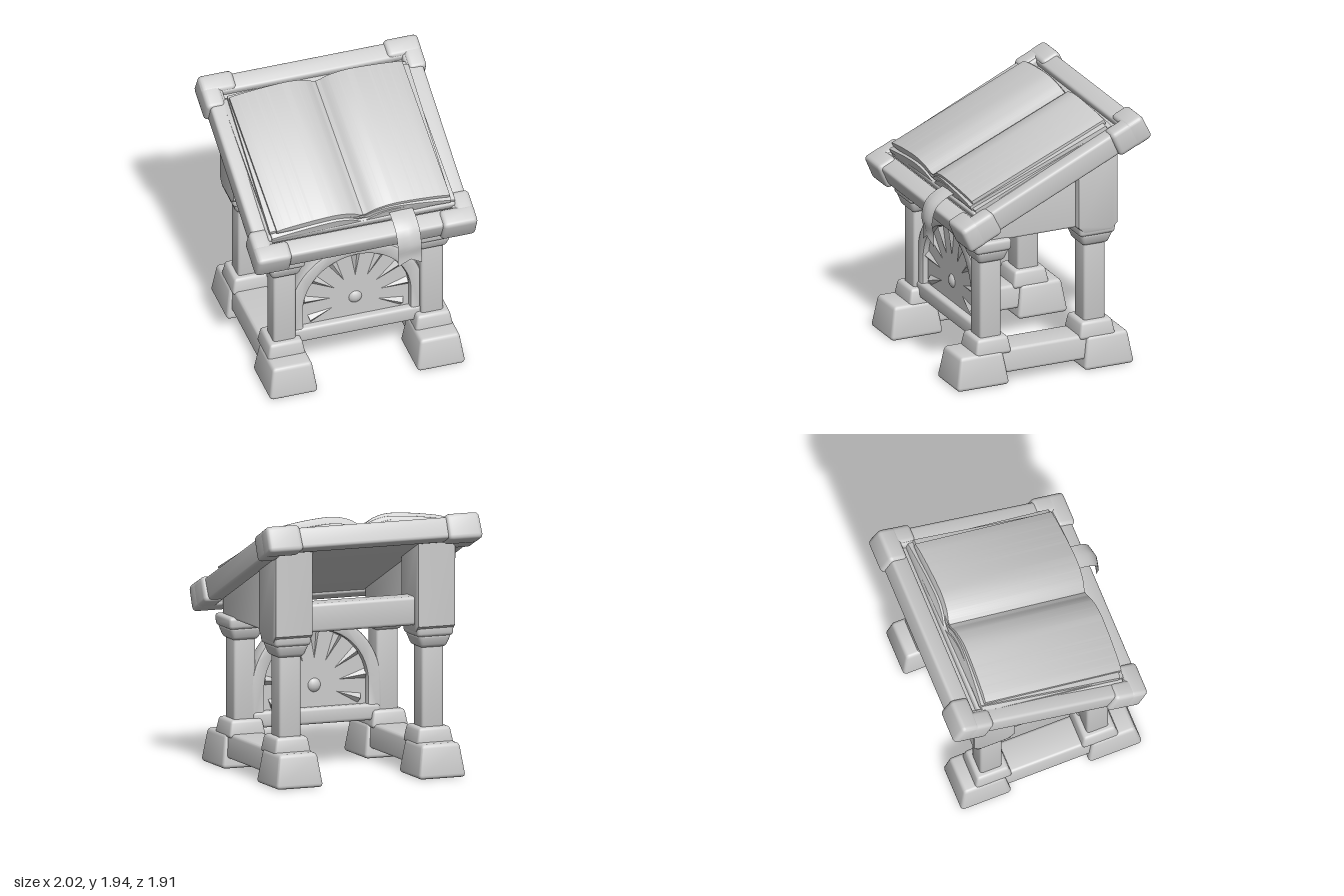
import * as THREE from 'three';
import { toCreasedNormals } from 'three/addons/utils/BufferGeometryUtils.js';
import { RoundedBoxGeometry } from 'three/addons/geometries/RoundedBoxGeometry.js';

const stone = new THREE.MeshStandardMaterial({ color: 0xcccccc });
stone.name = 'stoneGrey';
const ribbonGrey = stone.clone();
ribbonGrey.name = 'ribbonGrey';
ribbonGrey.side = THREE.DoubleSide;

const SLOPE = 0.43, BOARD_Y = 1.525;
const LEG_X = 0.56, LEG_FRONT = 0.44, LEG_BACK = -0.39;

function add(parent, name, geo, x = 0, y = 0, z = 0, mat = stone) {
  const mesh = new THREE.Mesh(geo, mat);
  mesh.name = name;
  mesh.position.set(x, y, z);
  parent.add(mesh);
  return mesh;
}

// Worn block, optionally narrowed or widened towards its top
function block(w, h, d, topX = 1, topZ = topX, r = 0.025) {
  const g = new RoundedBoxGeometry(w, h, d, 2, r);
  const p = g.attributes.position;
  for (let i = 0; i < p.count; i++) {
    const t = p.getY(i) / h + 0.5;
    p.setX(i, p.getX(i) * (1 + (topX - 1) * t));
    p.setZ(i, p.getZ(i) * (1 + (topZ - 1) * t));
  }
  g.computeVertexNormals();
  return toCreasedNormals(g, 0.6);
}

// Outline extruded evenly about z = 0, with a small bevel
function slab(shape, depth, bevel = 0.012) {
  const g = new THREE.ExtrudeGeometry(shape, {
    depth: depth - 2 * bevel, bevelEnabled: bevel > 0, bevelThickness: bevel,
    bevelSize: bevel, bevelOffset: -bevel, bevelSegments: 2, curveSegments: 24,
  });
  g.translate(0, 0, -depth / 2 + bevel);
  return toCreasedNormals(g, 0.6);
}

// Upright support with a sloping top that meets the board
function wedge(z0, z1, bottom, thick, chamfer) {
  const top = z => BOARD_Y - z * Math.tan(SLOPE) - 0.03;
  const s = new THREE.Shape([
    [z0 + chamfer, bottom], [z1 - chamfer, bottom], [z1, bottom + chamfer],
    [z1, top(z1)], [z0, top(z0)], [z0, bottom + chamfer],
  ].map(([z, y]) => new THREE.Vector2(z, y)));
  return slab(s, thick, 0.02).rotateY(-Math.PI / 2);
}

function archShape(r, base) {
  const s = new THREE.Shape();
  s.moveTo(-r, base);
  s.lineTo(r, base);
  s.lineTo(r, 0.56);
  s.absarc(0, 0.56, r, 0, Math.PI, false);
  s.closePath();
  return s;
}

// Open page spread: dips at the spine, swells, then falls to the edges
function pages(half, depth, lift) {
  const side = [[0.03, 0.06], [0.1, 0.1], [0.22, 0.125], [0.4, 0.115], [0.58, 0.09], [half, 0.07]];
  const right = side.map(([x, y]) => new THREE.Vector2(x, y + lift));
  const left = right.map(v => new THREE.Vector2(-v.x, v.y)).reverse();
  const s = new THREE.Shape();
  s.moveTo(-half, lift + 0.035);
  s.lineTo(half, lift + 0.035);
  s.lineTo(half, lift + 0.07);
  s.splineThru(right.slice().reverse().slice(1));
  s.lineTo(0, lift + 0.035 + 0.012);
  s.lineTo(left[left.length - 1].x, left[left.length - 1].y);
  s.splineThru(left.slice().reverse().slice(1));
  s.closePath();
  return slab(s, depth, 0.006);
}

function buildBase(parent) {
  for (const side of [-1, 1]) {
    const x = side * LEG_X;
    // Runner with a heavy tapered foot at each end
    add(parent, 'footRunner', block(0.29, 0.18, 1.1, 0.86, 1), x, 0.165, 0.04);
    add(parent, 'frontFoot', block(0.37, 0.25, 0.42, 0.8, 0.8, 0.03), x, 0.125, 0.54);
    add(parent, 'backFoot', block(0.37, 0.25, 0.4, 0.8, 0.8, 0.03), x, 0.125, -0.465);
    for (const z of [LEG_FRONT, LEG_BACK]) {
      add(parent, 'columnPlinth', block(0.29, 0.13, 0.29, 0.84), x, 0.29, z);
      add(parent, 'column', block(0.17, 0.72, 0.17, 1, 1, 0.022), x, 0.66, z);
      add(parent, 'capitalFlare', block(0.2, 0.1, 0.2, 1.35), x, 0.985, z);
      add(parent, 'capitalTop', block(0.28, 0.09, 0.28, 1.04), x, 1.065, z);
    }
    add(parent, 'sidePanel', wedge(-0.3, 0.55, 1.09, 0.2, 0.01), x, 0, 0);
    add(parent, 'backSupport', wedge(-0.55, -0.23, 1.05, 0.3, 0.05), x, 0, 0);
  }
  add(parent, 'backCrossbar', block(0.95, 0.21, 0.16), 0, 1.21, -0.41);
}

function buildArch(parent) {
  const arch = new THREE.Group();
  arch.name = 'frontArch';
  arch.position.z = 0.42;
  parent.add(arch);
  const ring = archShape(0.51, 0.32);
  ring.holes.push(archShape(0.405, 0.4));
  add(arch, 'archFrame', slab(ring, 0.14, 0.02));
  add(arch, 'archSill', block(1.0, 0.12, 0.16), 0, 0.34, 0);
  add(arch, 'archPanel', slab(archShape(0.42, 0.36), 0.05, 0));
  // Carved fan of rays widening outwards from the hub
  for (let i = 0; i < 9; i++) {
    const a = -0.32 + i * (Math.PI + 0.64) / 8;
    const len = i === 0 || i === 8 ? 0.34 : 0.37;
    const cone = new THREE.ConeGeometry(0.065, len, 4).rotateX(Math.PI);
    cone.translate(0, len / 2 + 0.03, 0).scale(1, 1, 0.85);
    const ray = add(arch, 'archRay', toCreasedNormals(cone, 0.4), 0, 0.56, 0);
    ray.rotation.z = a - Math.PI / 2;
  }
  add(arch, 'archHub', new THREE.SphereGeometry(0.06, 16, 10).scale(1, 1, 0.8), 0, 0.56, 0);
}

function buildBoard(parent) {
  const board = new THREE.Group();
  board.name = 'readingBoard';
  board.position.y = BOARD_Y;
  board.rotation.x = SLOPE;
  parent.add(board);
  add(board, 'boardPanel', block(1.5, 0.09, 1.45), 0, -0.015, 0);
  // Rim beams and chunky corner caps
  for (const s of [-1, 1]) {
    add(board, 'sideRim', block(0.13, 0.17, 1.45), s * 0.745, 0, 0);
    add(board, 'endRim', block(1.5, 0.16, 0.14), 0, 0, s * 0.705);
    for (const t of [-1, 1]) {
      add(board, 'cornerCap', block(0.27, 0.2, 0.16, 0.97, 0.94, 0.035), s * 0.705, 0, t * 0.72);
      add(board, 'cornerCapSide', block(0.15, 0.195, 0.28, 0.94, 0.97, 0.035), s * 0.765, 0, t * 0.655);
    }
  }
  // Open book lying slightly shallower than the board
  const book = new THREE.Group();
  book.name = 'openBook';
  book.position.set(0, 0.03, 0.02);
  book.rotation.x = -0.03;
  board.add(book);
  add(book, 'bookCover', block(1.42, 0.06, 1.22, 1, 1, 0.015), 0, 0.025, 0);
  [[0.7, 1.2, 0.0, 0.02], [0.685, 1.17, 0.028, -0.02], [0.66, 1.16, 0.055, 0.015]]
    .forEach(([half, depth, lift, turn], i) => {
      const leaf = add(book, 'pageStack' + (i + 1), pages(half, depth, lift));
      leaf.rotation.y = turn;
    });
}

// Bookmark ribbon draped over the front rim, with a forked end
function buildRibbon(parent) {
  const path = new THREE.CatmullRomCurve3([
    [0.57, 1.41], [0.68, 1.375], [0.765, 1.31], [0.8, 1.2], [0.785, 1.1], [0.79, 1.02],
  ].map(([z, y]) => new THREE.Vector3(0, y, z)));
  const g = new THREE.PlaneGeometry(0.18, 1, 4, 16);
  const p = g.attributes.position;
  for (let i = 0; i < p.count; i++) {
    const x = p.getX(i), t = 0.5 - p.getY(i);
    const notch = (1 - Math.abs(x) / 0.09) * 0.15;
    const v = path.getPoint(t * (1 - notch * t));
    p.setXYZ(i, x + 0.02 * t, v.y, v.z + 0.01 * Math.cos(x * 35));
  }
  g.computeVertexNormals();
  add(parent, 'bookmarkRibbon', g, 0.29, 0, 0, ribbonGrey);
}

export function createModel() {
  const model = new THREE.Group();
  model.name = 'lectern';
  const stand = new THREE.Group();
  stand.name = 'lecternStand';
  stand.rotation.y = -0.288;
  model.add(stand);
  buildBase(stand);
  buildArch(stand);
  buildBoard(stand);
  buildRibbon(stand);
  return model;
}
